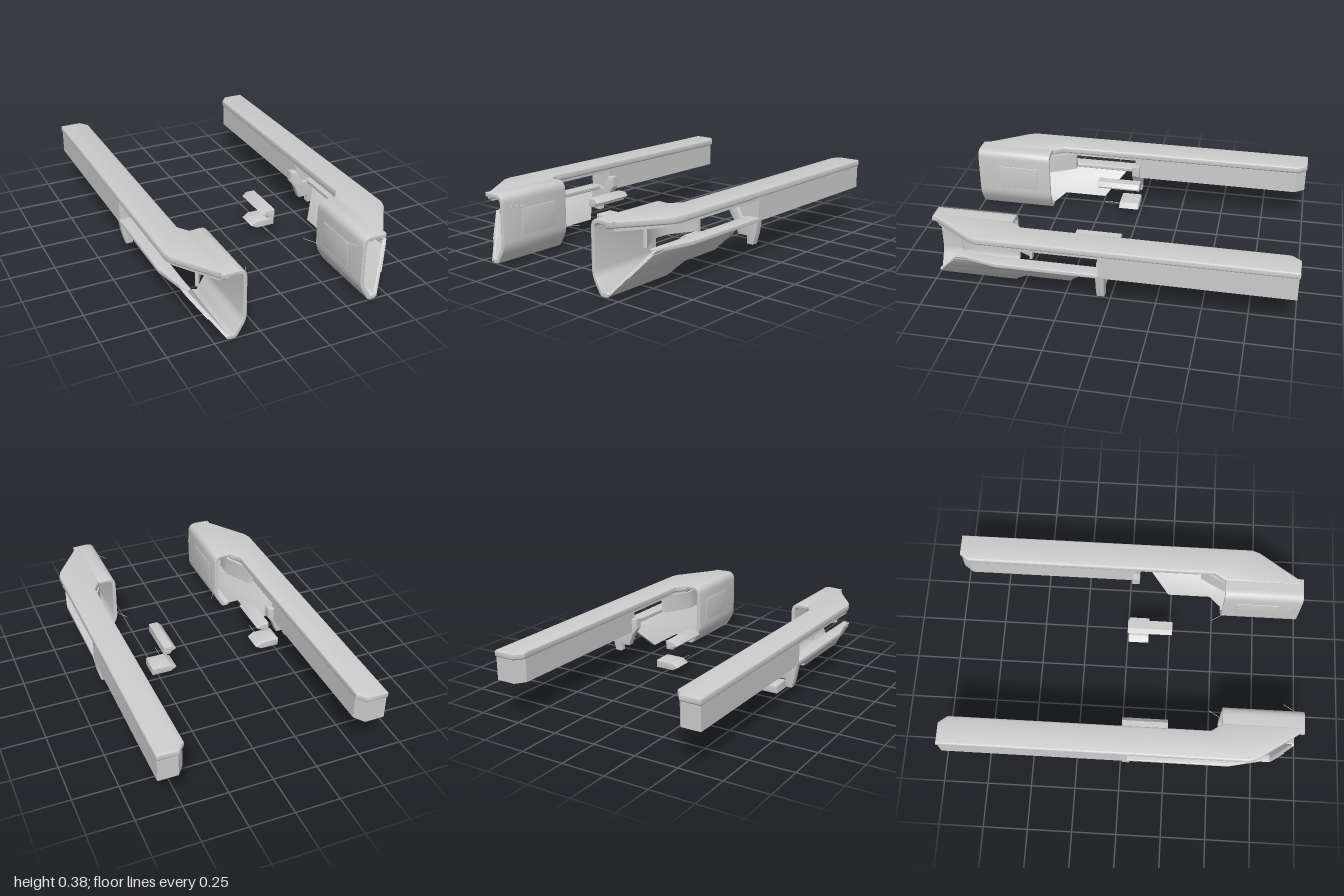
import * as THREE from 'three';
import { toCreasedNormals } from 'three/addons/utils/BufferGeometryUtils.js';

const material = new THREE.MeshStandardMaterial({ color: 0xcccccc, side: THREE.DoubleSide });

function polygon(points) {
  return new THREE.Shape(points.map(([a, b]) => new THREE.Vector2(a, b)));
}

function extrude(shape, depth, bevel = 0) {
  return new THREE.ExtrudeGeometry(shape, {
    depth: depth - 2 * bevel, bevelEnabled: bevel > 0, bevelSize: bevel,
    bevelThickness: bevel, bevelOffset: -bevel, bevelSegments: 3, curveSegments: 6,
  }).translate(0, 0, bevel);
}

function part(name, geometry) {
  const mesh = new THREE.Mesh(toCreasedNormals(geometry, 0.6), material);
  mesh.name = name;
  return mesh;
}

// Outline in (x, y), running along z
const alongZ = (pts, z0, z1, bevel) =>
  extrude(polygon(pts), z1 - z0, bevel).translate(0, 0, z0);

// Outline in (x, z), running up y
const alongY = (pts, y0, y1, bevel) =>
  extrude(polygon(pts.map(([x, z]) => [x, -z])), y1 - y0, bevel)
    .rotateX(-Math.PI / 2).translate(0, y0, 0);

// Outline in (z, y), running along x
const alongX = (pts, x0, x1, bevel) =>
  extrude(polygon(pts.map(([z, y]) => [-z, y])), x1 - x0, bevel)
    .rotateY(Math.PI / 2).translate(x0, 0, 0);

function rod(name, from, to) {
  const path = new THREE.LineCurve3(new THREE.Vector3(...from), new THREE.Vector3(...to));
  return part(name, new THREE.TubeGeometry(path, 1, 0.0015, 5));
}

// Rounded channel at the front: roof, inner wall, keel and foot of the blade
function channelGeometry() {
  const s = new THREE.Shape();
  s.moveTo(0.46, 0.382);
  s.lineTo(0.375, 0.385);
  s.quadraticCurveTo(0.325, 0.385, 0.325, 0.335);
  s.lineTo(0.325, 0.125);
  s.quadraticCurveTo(0.327, 0.09, 0.345, 0.06);
  s.lineTo(0.372, 0.015);
  s.quadraticCurveTo(0.38, 0, 0.395, 0);
  s.lineTo(0.42, 0);
  s.lineTo(0.435, 0.02);
  s.lineTo(0.42, 0.028);
  s.lineTo(0.395, 0.022);
  s.lineTo(0.364, 0.075);
  s.quadraticCurveTo(0.346, 0.1, 0.346, 0.125);
  s.lineTo(0.346, 0.33);
  s.quadraticCurveTo(0.346, 0.362, 0.38, 0.362);
  s.lineTo(0.46, 0.36);
  return extrude(s, 0.45, 0.004).translate(0, 0, 0.55);
}

// Sloping panel that leans outward as it rises
function bladeGeometry(points, thickness, offset = 0) {
  const g = alongX(points, 0, thickness, 0.003);
  const p = g.attributes.position;
  for (let i = 0; i < p.count; i++) {
    p.setX(i, p.getX(i) + 0.405 + offset + 0.72 * p.getY(i));
  }
  g.computeVertexNormals();
  return g;
}

function createArm(clipShift) {
  const arm = new THREE.Group();

  // Long rail with its cap; the cap runs forward as the roof
  arm.add(part('railBody', alongY([
    [0.475, 0.04], [0.626, 0.04], [0.626, -0.995], [0.515, -0.995], [0.475, -0.94],
  ], 0.215, 0.36)));
  arm.add(part('railCap', alongY([
    [0.47, -0.95], [0.51, -1], [0.63, -1], [0.63, 0.7], [0.615, 0.745],
    [0.44, 1], [0.425, 1], [0.425, 0.555], [0.47, 0.49],
  ], 0.345, 0.385, 0.01)));
  arm.add(part('roofLining', alongY([
    [0.48, 0.03], [0.62, 0.03], [0.62, 0.7], [0.6, 0.745], [0.45, 0.97], [0.45, 0.56], [0.48, 0.49],
  ], 0.33, 0.35)));

  // Front channel with a panel on its inner wall
  arm.add(part('frontChannel', channelGeometry()));
  arm.add(part('wallPanel', alongX([
    [0.63, 0.15], [0.87, 0.15], [0.87, 0.29], [0.63, 0.29],
  ], 0.322, 0.33, 0.002)));

  // Lower blade with a raised plate along its outer face
  arm.add(part('blade', bladeGeometry([
    [1, 0.008], [0.56, 0.008], [0.48, 0.07], [0.23, 0.07], [0.1, 0.22], [0.83, 0.228],
  ], 0.022)));
  arm.add(part('bladePlate', bladeGeometry([
    [0.93, 0.1], [0.66, 0.1], [0.62, 0.12], [0.36, 0.13], [0.2, 0.2], [0.84, 0.21],
  ], 0.008, 0.019)));
  arm.add(part('sill', alongY([
    [0.55, 0.02], [0.625, 0.02], [0.625, 0.6], [0.575, 0.83], [0.55, 0.83],
  ], 0.21, 0.234, 0.004)));

  // Inner guide wall behind the side window
  arm.add(part('guideWall', alongY([
    [0.53, 0.42], [0.5, 0.42], [0.42, 0.57], [0.42, 0.68], [0.5, 0.82],
    [0.515, 0.81], [0.437, 0.675], [0.437, 0.575], [0.51, 0.435], [0.53, 0.435],
  ], 0.225, 0.335)));

  // Hanging bracket under the front end of the rail
  arm.add(part('bracket', alongZ([
    [0.44, 0.3], [0.44, 0.24], [0.47, 0.2], [0.5, 0.125], [0.56, 0.125], [0.56, 0.08],
    [0.598, 0.08], [0.615, 0.14], [0.628, 0.225], [0.52, 0.225], [0.48, 0.3],
  ], 0.01, 0.055, 0.004)));

  // Loose pair of clips
  const clip = new THREE.Group();
  clip.name = 'clip';
  clip.add(part('clipBar', alongZ([
    [0.147, 0.188], [0.17, 0.21], [0.222, 0.21], [0.222, 0.16], [0.18, 0.16], [0.175, 0.175],
  ], 0, 0.26, 0.003)));
  clip.add(part('clipBase', alongZ([
    [0.145, 0.05], [0.18, 0.074], [0.293, 0.074], [0.293, 0.028], [0.18, 0.028],
  ], 0.005, 0.125, 0.004)));
  clip.add(rod('clipPin', [0.2, 0.055, 0.12], [0.2, 0.055, 0.22]));
  clip.position.x = clipShift;
  arm.add(clip);

  // Thin whiskers on the inner wall
  for (const [y, z] of [[0.125, 0.57], [0.32, 0.97]]) {
    arm.add(rod('whisker', [0.327, y, z], [0.28, y, z - 0.08]));
  }
  return arm;
}

export function createModel() {
  const model = new THREE.Group();
  const left = createArm(0);
  left.name = 'leftArm';
  const right = createArm(0.22);
  right.name = 'rightArm';
  right.scale.x = -1;
  model.add(left, right);
  return model;
}
